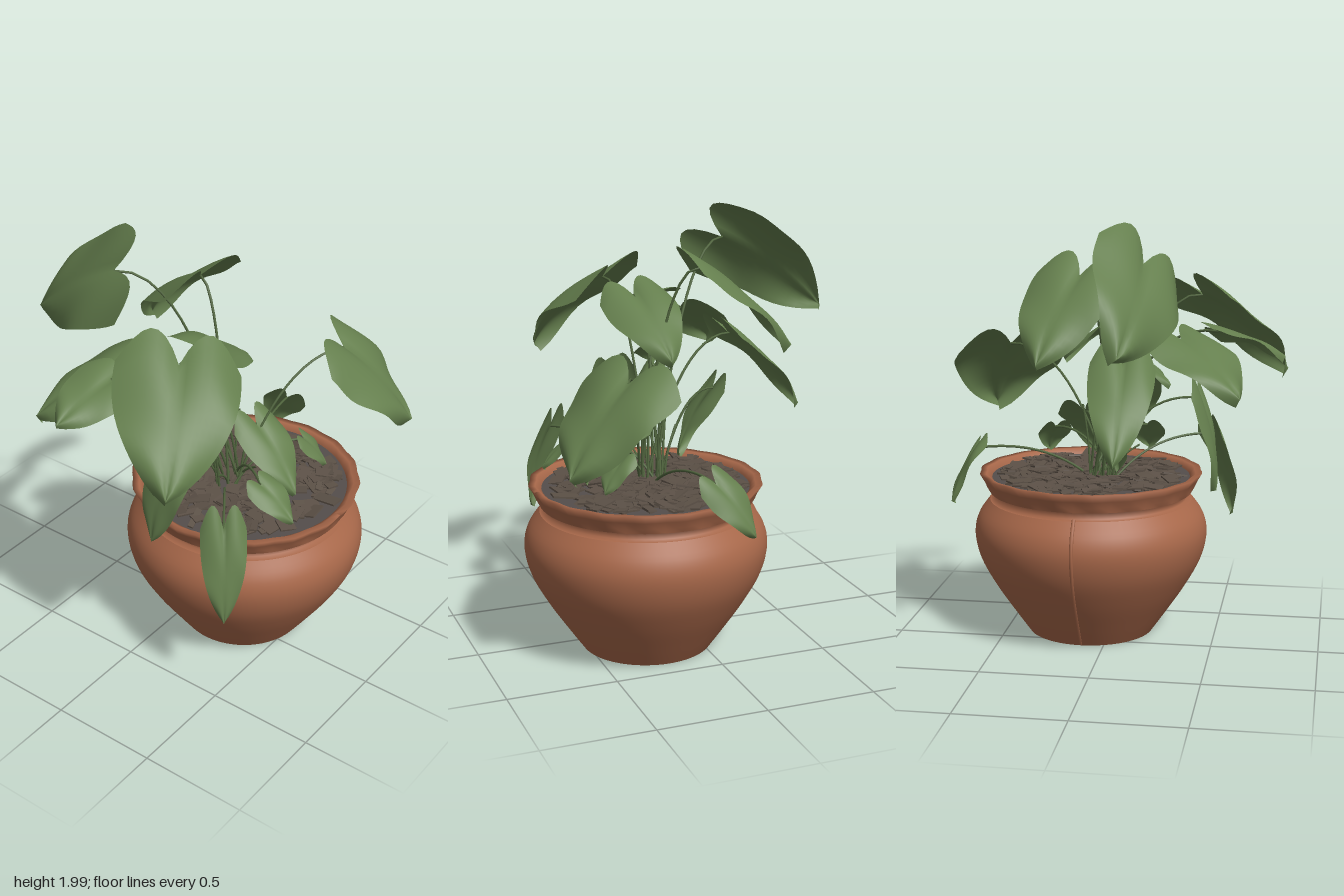
import * as THREE from 'three';

const mat = (name, color, side = THREE.FrontSide) => {
  const m = new THREE.MeshStandardMaterial({ color, side });
  m.name = name;
  return m;
};
const V = (a) => new THREE.Vector3(...a);
const CENTRE = [0.105, 0, 0.22];

// Heart-shaped blade from base notch to tip; level across unless rolled about its midrib
function leafGeometry(base, tip, width, roll = 0) {
  const B = V(base), dir = V(tip).sub(B), len = dir.length();
  dir.normalize();
  const side = new THREE.Vector3(-dir.z, 0, dir.x).normalize().applyAxisAngle(dir, -roll);
  const up = new THREE.Vector3().crossVectors(side, dir);
  const nu = 16, nv = 14, pos = [], idx = [];
  for (let j = 0; j <= nv; j++) {
    const s = j / nv;
    const half = 0.5 * width * (1 + 1.1 * s) * Math.pow(1 - s, 0.85);
    for (let i = 0; i <= nu; i++) {
      const u = (i / nu) * 2 - 1, a = Math.abs(u);
      const along = s * len - 0.25 * len * Math.sin(Math.PI * Math.pow(a, 0.9)) * Math.pow(1 - s, 2.5);
      const lift = 0.3 * len * s * (1 - s)
        + width * (0.08 * a - 0.15 * a * a + 0.03 * Math.sin(s * 9 + u * 2) * a);
      const p = B.clone().addScaledVector(dir, along)
        .addScaledVector(side, u * half).addScaledVector(up, lift);
      pos.push(p.x, p.y, p.z);
      if (i < nu && j < nv) {
        const k = j * (nu + 1) + i, n = k + nu + 1;
        idx.push(k, k + 1, n, k + 1, n + 1, n);
      }
    }
  }
  const g = new THREE.BufferGeometry();
  g.setAttribute('position', new THREE.Float32BufferAttribute(pos, 3));
  g.setIndex(idx);
  g.computeVertexNormals();
  return g;
}

export function createModel() {
  const model = new THREE.Group();
  const clay = mat('terracotta', 0xa8684a);
  const leafGreen = mat('leaf green', 0x657f4e, THREE.DoubleSide);
  const stemGreen = mat('stem green', 0x52673f);
  const soilGrey = mat('soil', 0x544e4b);
  const barkBrown = mat('bark', 0x5b5046);
  const add = (parent, name, geo, material) => {
    const m = new THREE.Mesh(geo, material);
    m.name = name;
    parent.add(m);
    return m;
  };
  const lathe = (pts) => new THREE.LatheGeometry(pts.map((p) => new THREE.Vector2(...p)), 72);

  // Pot
  const pot = new THREE.Group();
  pot.name = 'pot';
  pot.position.set(...CENTRE);
  model.add(pot);
  const ctrl = [[0.3, 0], [0.37, 0.1], [0.46, 0.235], [0.53, 0.365], [0.557, 0.48], [0.54, 0.57], [0.485, 0.65]];
  const wall = new THREE.SplineCurve(ctrl.map((p) => new THREE.Vector2(...p)));
  add(pot, 'potBody', new THREE.LatheGeometry(wall.getPoints(28), 72), clay);
  add(pot, 'potNeck', lathe([[0.485, 0.65], [0.458, 0.655], [0.458, 0.69], [0.485, 0.69]]), clay);
  const floor = add(pot, 'potBase', new THREE.CircleGeometry(0.3, 48), clay);
  floor.rotation.x = Math.PI / 2;
  floor.position.y = 0.005;

  // Flared rim with a gently scalloped lip
  const rimGeo = lathe([[0.485, 0.69], [0.495, 0.715], [0.508, 0.745], [0.53, 0.782], [0.5, 0.78], [0.475, 0.76], [0.462, 0.7]]);
  const rp = rimGeo.attributes.position;
  for (let i = 0; i < rp.count; i++) {
    const x = rp.getX(i), z = rp.getZ(i);
    if (Math.hypot(x, z) > 0.49) {
      const k = 1 + 0.009 * Math.cos(18 * Math.atan2(z, x));
      rp.setX(i, x * k);
      rp.setZ(i, z * k);
    }
  }
  rimGeo.computeVertexNormals();
  add(pot, 'potRim', rimGeo, clay);

  // Raised seam down the back wall
  const seam = new THREE.CatmullRomCurve3(ctrl.map(([r, y]) => new THREE.Vector3(0, y + 0.008, -r)));
  add(pot, 'potSeam', new THREE.TubeGeometry(seam, 24, 0.009, 6), clay);

  // Soil and a dense layer of bark mulch
  const soil = add(pot, 'soil', new THREE.CircleGeometry(0.475, 48), soilGrey);
  soil.rotation.x = -Math.PI / 2;
  soil.position.y = 0.755;
  let seed = 7;
  const rnd = () => (seed = (seed * 16807) % 2147483647) / 2147483647;
  const mulch = new THREE.Group();
  mulch.name = 'mulch';
  pot.add(mulch);
  const chipGeo = new THREE.BoxGeometry(1, 1, 1);
  for (let i = 0; i < 340; i++) {
    const chip = add(mulch, 'barkChip', chipGeo, barkBrown);
    const a = rnd() * Math.PI * 2, r = 0.42 * Math.sqrt(rnd());
    chip.position.set(r * Math.cos(a), 0.76 + rnd() * 0.016, r * Math.sin(a));
    chip.scale.set(0.05 + rnd() * 0.08, 0.008, 0.02 + rnd() * 0.05);
    chip.rotation.set((rnd() - 0.5) * 0.5, rnd() * Math.PI, (rnd() - 0.5) * 0.3);
  }

  // Foliage: each leaf with an arching stalk from the crown
  const foliage = new THREE.Group();
  foliage.name = 'foliage';
  model.add(foliage);
  const addStem = (name, root, bend, end, radius) => add(foliage, name,
    new THREE.TubeGeometry(new THREE.QuadraticBezierCurve3(root, bend, end), 16, radius, 6), stemGreen);
  let leafCount = 0;
  const addLeaf = (base, tip, width, roll) => {
    add(foliage, 'leaf', leafGeometry(base, tip, width, roll), leafGreen);
    const a = leafCount++ * 2.4, end = V(base);
    const root = new THREE.Vector3(0.04 + 0.06 * Math.cos(a), 0.75, 0.17 + 0.05 * Math.sin(a));
    const bend = root.clone().lerp(end, 0.4);
    bend.y = end.y + 0.04;
    addStem('stalk', root, bend, end, 0.006);
  };

  // Tall leaves at the back
  addLeaf([-0.21, 1.82, -0.28], [-0.16, 1.47, -0.77], 0.48, 0.85);
  addLeaf([0.11, 1.74, -0.05], [0.24, 1.38, -0.43], 0.44, 0.1);
  addLeaf([-0.36, 1.47, -0.13], [-0.64, 1.25, -0.38], 0.42);
  addLeaf([-0.12, 1.38, -0.28], [-0.13, 1.0, -0.65], 0.29, 0.1);
  // Spreading leaves at the sides and front
  addLeaf([-0.42, 1.63, 0.24], [-0.81, 1.25, 0.47], 0.53, 0.15);
  addLeaf([-0.52, 1.5, -0.05], [-0.82, 1.4, -0.1], 0.29, 0.3);
  addLeaf([0.54, 1.35, 0.45], [0.68, 1.0, 0.75], 0.54);
  addLeaf([-0.18, 1.58, 0.17], [0.22, 1.34, 0.13], 0.33, -0.2);
  // Drooping leaves beside the pot
  addLeaf([0.63, 0.9, 0.09], [0.72, 0.67, -0.06], 0.2, -0.6);
  addLeaf([-0.45, 0.92, 0.5], [-0.55, 0.5, 0.58], 0.2);
  addLeaf([-0.41, 1.15, 0.2], [-0.5, 0.72, 0.14], 0.24, 0.5);
  // Small young leaves around the crown
  addLeaf([0.14, 1.06, 0.25], [0.09, 0.8, 0.51], 0.26);
  addLeaf([-0.14, 1.25, 0.09], [-0.14, 1.05, 0.22], 0.21);
  addLeaf([-0.13, 0.96, 0.47], [-0.12, 0.82, 0.64], 0.18, -0.15);
  addLeaf([0.31, 0.95, 0.4], [0.36, 0.82, 0.5], 0.16);
  addLeaf([-0.05, 1.14, -0.17], [-0.06, 0.83, 0.0], 0.22, -0.9);
  addLeaf([-0.12, 1.34, 0.1], [-0.3, 1.24, 0.0], 0.2, 0.2);

  // Short bare shoots around the crown
  for (let i = 0; i < 5; i++) {
    const a = i * 1.26, r = 0.06 + rnd() * 0.1, h = 0.9 + rnd() * 0.25;
    const root = new THREE.Vector3(0.05 + 0.05 * Math.cos(a), 0.75, 0.16 + 0.05 * Math.sin(a));
    const end = new THREE.Vector3(root.x - 0.08 + r * Math.cos(a), h, root.z + r * Math.sin(a));
    addStem('shoot', root, new THREE.Vector3(root.x, (h + 0.75) / 2, root.z), end, 0.005);
  }
  return model;
}
